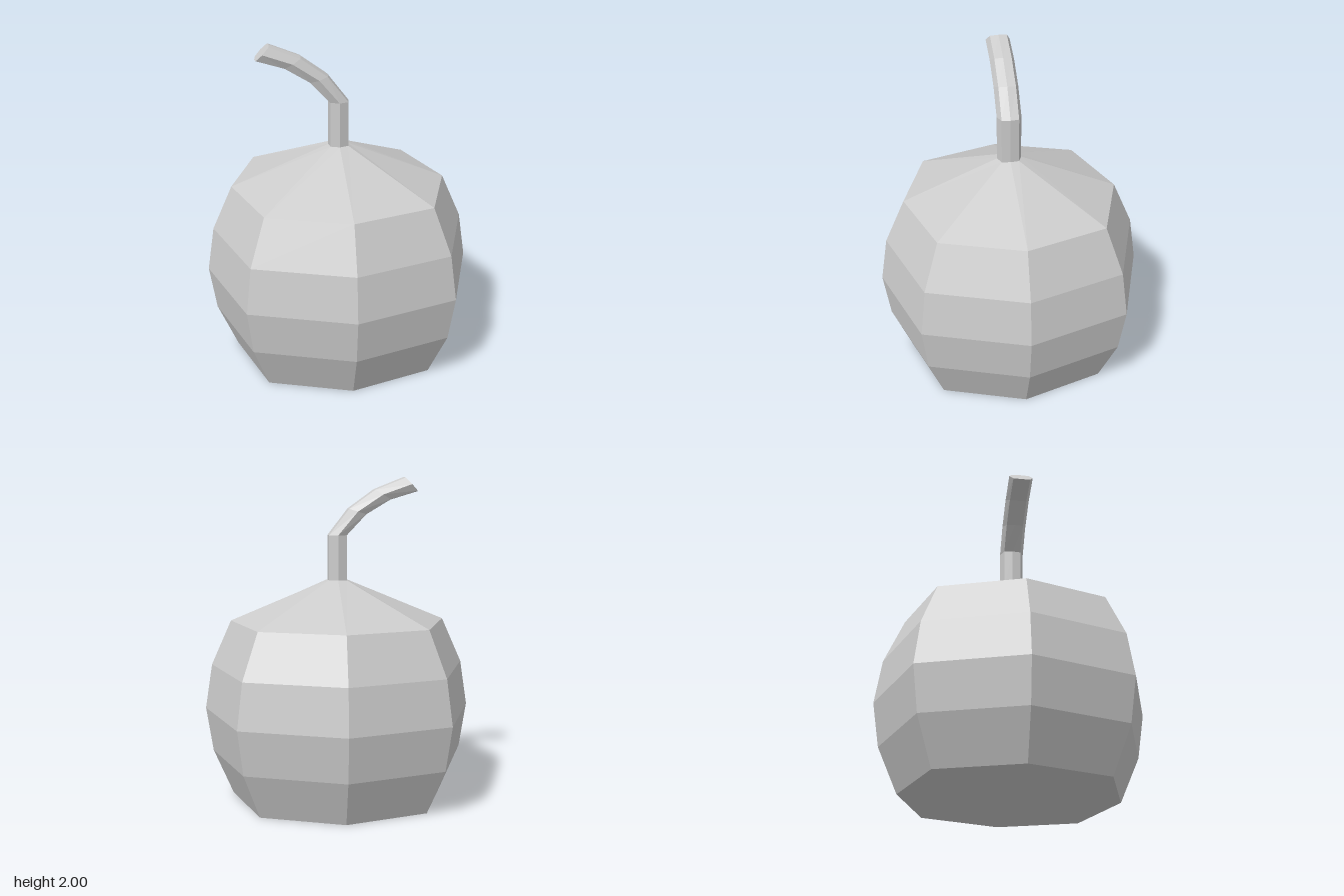
import * as THREE from 'three';

// Unit eight-sided sections as [x, z], counter-clockwise seen from above.
const bodySection = [[1, 0.006], [0.75, -0.745], [0, -1], [-0.75, -0.745], [-1, 0.006], [-0.75, 0.757], [0, 1], [0.75, 0.757]];
const stemSection = [[0.062, 0], [0.055, -0.053], [0, -0.075], [-0.055, -0.053], [-0.062, 0], [-0.055, 0.053], [0, 0.075], [0.055, 0.053]];
const stemZ = 0.007;

// Joins rings of points with flat faces; optionally closes either end.
function loft(rings, capBottom, capTop) {
  const pos = [];
  const tri = (...pts) => pts.forEach((p) => pos.push(p.x, p.y, p.z));
  for (let r = 0; r < rings.length - 1; r++) {
    const lo = rings[r], hi = rings[r + 1], n = lo.length;
    for (let i = 0; i < n; i++) {
      const j = (i + 1) % n;
      tri(lo[i], lo[j], hi[j]);
      tri(lo[i], hi[j], hi[i]);
    }
  }
  const first = rings[0], last = rings[rings.length - 1];
  for (let i = 1; i < first.length - 1; i++) {
    if (capBottom) tri(first[0], first[i + 1], first[i]);
    if (capTop) tri(last[0], last[i], last[i + 1]);
  }
  const geo = new THREE.BufferGeometry();
  geo.setAttribute('position', new THREE.Float32BufferAttribute(pos, 3));
  geo.computeVertexNormals();
  return geo;
}

// Stem ring centred at (cx, cy), tilted about the z axis.
function stemRing(cx, cy, tilt) {
  return stemSection.map(([x, z]) =>
    new THREE.Vector3(cx + x * Math.cos(tilt), cy + x * Math.sin(tilt), z + stemZ));
}

export function createModel() {
  const group = new THREE.Group();
  const material = new THREE.MeshStandardMaterial({ color: 0xcccccc, flatShading: true });
  const add = (name, geo) => {
    const mesh = new THREE.Mesh(geo, material);
    mesh.name = name;
    group.add(mesh);
  };

  // Round body, with its shoulders sloping up to the foot of the stem
  const bodyRings = [[0, 0.667], [0.283, 0.79], [0.56, 0.833], [0.838, 0.79], [1.115, 0.667]]
    .map(([y, r]) => bodySection.map(([x, z]) => new THREE.Vector3(x * r, y, z * r)));
  const stemFoot = stemRing(0, 1.366, 0);
  add('body', loft([...bodyRings, stemFoot], true, false));

  // Stem: straight at the foot, then bending over to one side
  add('stem', loft([
    stemFoot,
    stemRing(0, 1.645, 0),
    stemRing(-0.122, 1.79, 0.3),
    stemRing(-0.278, 1.894, 0.55),
    stemRing(-0.456, 1.957, 0.8),
  ], false, true));

  return group;
}
